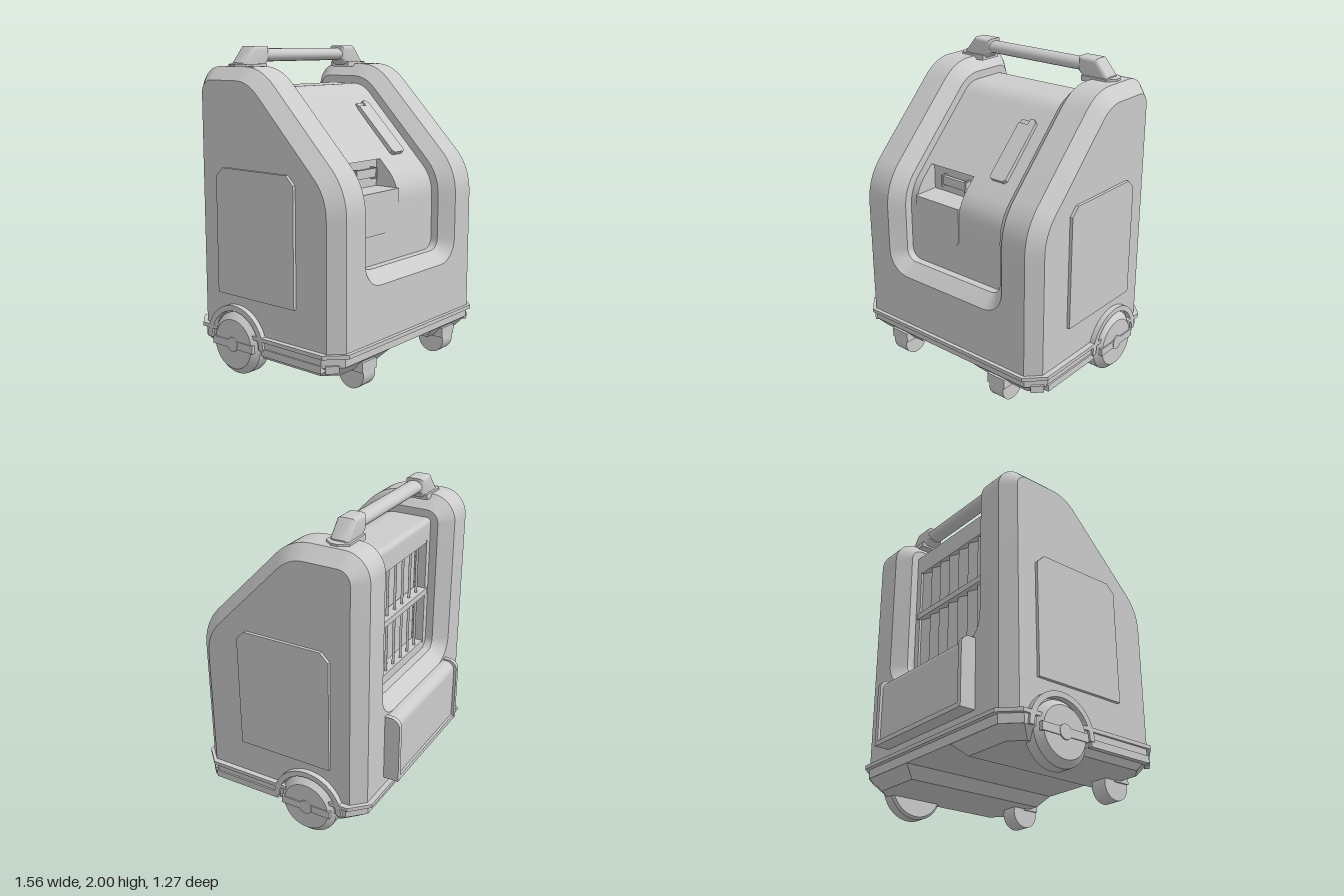
import * as THREE from 'three';
import { toCreasedNormals } from 'three/addons/utils/BufferGeometryUtils.js';
import { ConvexGeometry } from 'three/addons/geometries/ConvexGeometry.js';

const solid = new THREE.MeshStandardMaterial({ color: 0xcccccc });
const shell = new THREE.MeshStandardMaterial({ color: 0xcccccc, side: THREE.DoubleSide });

export function createModel() {
  const model = new THREE.Group();

  const add = (name, geo, mat = solid, parent = model) => {
    const mesh = new THREE.Mesh(geo, mat);
    mesh.name = name;
    parent.add(mesh);
    return mesh;
  };
  // Box given by its limits
  const box = (name, x0, x1, y0, y1, z0, z1) => {
    const mesh = add(name, new THREE.BoxGeometry(x1 - x0, y1 - y0, z1 - z0));
    mesh.position.set((x0 + x1) / 2, (y0 + y1) / 2, (z0 + z1) / 2);
    return mesh;
  };
  const shapeOf = (pts) => new THREE.Shape(pts.map(([a, b]) => new THREE.Vector2(a, b)));
  const extrude = (shape, depth) => toCreasedNormals(
    new THREE.ExtrudeGeometry(shape, { depth, bevelEnabled: false, curveSegments: 16 }), 0.5);
  // Extrusion of a (z, y) shape between two x values
  const sideExtrude = (name, shape, x0, x1) =>
    add(name, extrude(shape, x1 - x0).rotateY(-Math.PI / 2).translate(x1, 0, 0));
  // Surface through rows of [x, y, z] points
  const surface = (rows) => {
    const n = rows[0].length, index = [];
    for (let i = 0; i < rows.length - 1; i++) for (let j = 0; j < n - 1; j++) {
      const a = i * n + j;
      index.push(a, a + 1, a + n, a + 1, a + n + 1, a + n);
    }
    const geo = new THREE.BufferGeometry();
    geo.setAttribute('position', new THREE.Float32BufferAttribute(rows.flat(2), 3));
    geo.setIndex(index);
    return toCreasedNormals(geo, 0.5);
  };

  // Side profile of the body in (z, y), from front bottom over the top to back bottom
  const bend = (a, c, b) => new THREE.QuadraticBezierCurve(
    new THREE.Vector2(...a), new THREE.Vector2(...c), new THREE.Vector2(...b)).getPoints(12).map((p) => [p.x, p.y]);
  const corner = Array.from({ length: 11 }, (_, i) => {
    const t = Math.PI / 2 * (1 + i / 10);
    return [-0.38 + 0.16 * Math.cos(t), 1.72 + 0.16 * Math.sin(t)];
  });
  const profile = [[0.61, 0.27], [0.61, 1.0], ...bend([0.61, 1.05], [0.61, 1.22], [0.49, 1.34]),
    ...bend([0.06, 1.78], [-0.04, 1.88], [-0.17, 1.88]), ...corner, [-0.54, 1.1], [-0.54, 0.27]];
  const inset = (d) => profile.map(([z, y], i) => {
    const [za, ya] = profile[Math.max(i - 1, 0)], [zb, yb] = profile[Math.min(i + 1, profile.length - 1)];
    const l = Math.hypot(zb - za, yb - ya);
    return [z - d * (yb - ya) / l, y + d * (zb - za) / l];
  });

  // Side towers: chamfer, flat band and bevel into the central channel
  const loft = (section, from, to) => {
    const cols = section.map(([x, d]) => inset(d).slice(from, to).map(([z, y]) => [x, y, z]));
    return surface(cols);
  };
  for (const s of [1, -1]) {
    add('towerBand', loft([[s * 0.64, 0], [s * 0.47, 0], [s * 0.39, 0.08], [s * 0.39, 0.14]], 1, -1), shell);
    add('towerChamfer', loft([[s * 0.64, 0], [s * 0.72, 0.08]]), shell);
    add('bodySide', new THREE.ShapeGeometry(shapeOf(inset(0.08))).rotateY(-Math.PI / 2).translate(s * 0.72, 0, 0), shell);
  }

  // Lower wall with a rounded U-shaped cut-out and its bevelled rim
  const lowerWall = (name, z, yInner, yTop, turn) => {
    const path = [[0.32, yTop, 0]];
    for (let i = 0; i <= 8; i++) path.push([0.32, yInner + 0.07, -i / 8 * Math.PI / 2]);
    for (let i = 0; i <= 8; i++) path.push([-0.32, yInner + 0.07, -(1 + i / 8) * Math.PI / 2]);
    path.push([-0.32, yTop, -Math.PI]);
    const ring = (r, d) => path.map(([x, y, t]) => [x + r * Math.cos(t), y + r * Math.sin(t), z - d]);
    const outer = ring(0.15, 0);
    add(name + 'Rim', surface([outer, ring(0.07, 0.08), ring(0.07, 0.14)]), shell).rotation.y = turn;
    const wall = shapeOf([[-0.64, yTop], [-0.64, 0.27], [0.64, 0.27], [0.64, yTop], ...outer]);
    add(name, new THREE.ShapeGeometry(wall).translate(0, 0, z), shell).rotation.y = turn;
  };
  lowerWall('frontWall', 0.61, 0.7, 1.0, 0);
  lowerWall('backWall', 0.54, 0.85, 1.1, Math.PI);

  // Recessed centre panel, left open where the pocket sits
  const core = inset(0.13).slice(0, -2);
  core[0][1] = 0.65;
  core.push([-0.41, 1.62]);
  const cutAt = (y) => {
    const i = core.findIndex((p) => p[1] > y);
    const [a, b] = [core[i - 1], core[i]];
    core.splice(i, 0, [a[0] + (b[0] - a[0]) * (y - a[1]) / (b[1] - a[1]), y]);
    return i;
  };
  const low = cutAt(1.14), high = cutAt(1.31);
  const strip = (x0, x1, pts) => add('centrePanel',
    surface([x0, x1].map((x) => pts.map(([z, y]) => [x, y, z]))), shell);
  strip(-0.39, -0.34, core);
  strip(0.02, 0.39, core);
  strip(-0.34, 0.02, core.slice(0, low + 1));
  strip(-0.34, 0.02, core.slice(high));

  // Pocket with a grip and a flap below it
  const cheek = shapeOf([...core.slice(low, high + 1), [0.31, 1.31], [0.31, 1.14]]);
  sideExtrude('pocketCheek', cheek, -0.35, -0.34);
  sideExtrude('pocketCheek', cheek, 0.02, 0.03);
  box('pocketBack', -0.35, 0.03, 1.12, 1.32, 0.29, 0.31);
  box('pocketFloor', -0.34, 0.02, 1.12, 1.14, 0.3, 0.45);
  box('pocketGrip', -0.24, -0.03, 1.205, 1.26, 0.33, 0.355);
  for (const x of [-0.235, -0.045]) box('gripPost', x, x + 0.012, 1.19, 1.265, 0.3, 0.36);
  const flap = new THREE.Shape().moveTo(-0.34, 1.14).lineTo(-0.34, 0.88).lineTo(-0.04, 0.88);
  flap.absarc(-0.04, 0.94, 0.06, -Math.PI / 2, 0).lineTo(0.02, 1.14);
  add('pocketFlap', extrude(flap, 0.085).translate(0, 0, 0.4));

  // Latch on the slope
  const latch = shapeOf([[-0.06, -0.2], [-0.045, -0.215], [0.045, -0.215], [0.06, -0.2], [0.06, 0.2],
    [0.04, 0.22], [0.01, 0.22], [0.01, 0.18], [-0.06, 0.18]]);
  const latchMesh = add('latch', extrude(latch, 0.04));
  latchMesh.position.set(0.21, 1.463, 0.168);
  latchMesh.rotation.x = -Math.PI / 4;
  const tab = add('latchTab', new THREE.BoxGeometry(0.06, 0.03, 0.02));
  tab.position.set(0.185, 1.615, 0.045);
  tab.rotation.x = -Math.PI / 4;

  // Back grille: frame, middle rail and angled slats
  box('grilleBack', -0.39, 0.39, 0.8, 1.7, -0.33, -0.3);
  for (const s of [1, -1]) box('grilleSide', s * 0.37 - 0.025, s * 0.37 + 0.025, 0.8, 1.68, -0.41, -0.32);
  box('grilleTop', -0.39, 0.39, 1.6, 1.66, -0.408, -0.32);
  box('grilleBottom', -0.39, 0.39, 0.8, 0.91, -0.408, -0.32);
  box('grilleRail', -0.36, 0.36, 1.25, 1.29, -0.42, -0.34);
  for (let i = 0; i < 7; i++) {
    box('grilleSlat', -0.05, 0.05, 0.9, 1.62, -0.376, -0.36).rotation.y = 0.45;
    model.children.at(-1).position.x = -0.3 + i * 0.1;
  }

  // Rear case with raised end caps and bottom lip
  const caseShape = (z, y0, y1, r) => {
    const s = new THREE.Shape().moveTo(-0.5, y0).lineTo(-0.5, y1).lineTo(z + r, y1);
    return s.absarc(z + r, y1 - r, r, Math.PI / 2, Math.PI).lineTo(z, y0);
  };
  sideExtrude('rearCase', caseShape(-0.622, 0.35, 0.77, 0.06), -0.41, 0.41);
  for (const x of [-0.435, 0.405]) sideExtrude('rearCaseCap', caseShape(-0.64, 0.34, 0.78, 0.06), x, x + 0.03);
  box('rearCaseLip', -0.41, 0.41, 0.34, 0.37, -0.638, -0.54);

  // Base: trim flange, pan and two feet with a channel between them
  const octagon = (x, zf, zb, c) => [[x, zf - c], [x - c, zf], [c - x, zf], [-x, zf - c],
    [-x, zb + c], [c - x, zb], [x - c, zb], [x, zb + c]];
  const hull = (name, ...rings) => add(name, new ConvexGeometry(
    rings.flatMap(([y, pts]) => pts.map(([x, z]) => new THREE.Vector3(x, y, z)))));
  const trim = octagon(0.755, 0.635, -0.572, 0.11);
  hull('trimFlange', [0.258, trim], [0.282, trim]);
  const pan = octagon(0.74, 0.605, -0.545, 0.1);
  hull('basePan', [0.2, pan], [0.26, pan]);
  for (const s of [1, -1]) {
    const foot = (xi, xo, zf, zb, c) => [[xi, zf], [xo - c, zf], [xo, zf - c], [xo, zb + c], [xo - c, zb], [xi, zb]]
      .map(([x, z]) => [s * x, z]);
    hull('baseFoot', [0.202, foot(0.215, 0.74, 0.605, -0.545, 0.1)], [0.13, foot(0.28, 0.69, 0.54, -0.46, 0.08)]);

    // Side rail and its end on the corner
    box('sideRail', s * 0.73 - 0.02, s * 0.73 + 0.02, 0.17, 0.215, 0.04, 0.51);
    const end = box('sideRailEnd', -0.04, 0.04, 0.17, 0.215, -0.015, 0.015);
    end.position.set(s * 0.695, 0.1925, 0.55);
    end.rotation.y = s * Math.PI / 4;

    // Side access panel
    const panel = shapeOf([[-0.33, 0.5], [0.3, 0.5], [0.3, 1.225], [0.245, 1.28], [-0.275, 1.28], [-0.33, 1.225]]);
    sideExtrude('sidePanel', panel, s > 0 ? 0.71 : -0.74, s > 0 ? 0.74 : -0.71);

    // Wheel arch
    const arch = new THREE.Shape().absarc(-0.18, 0.2, 0.24, 0, Math.PI).absarc(-0.18, 0.2, 0.205, Math.PI, 0, true);
    sideExtrude('wheelArch', arch, s > 0 ? 0.69 : -0.755, s > 0 ? 0.755 : -0.69);

    // Main wheel with a cross bar and hub
    const wheel = new THREE.Group();
    wheel.name = 'mainWheel';
    wheel.position.set(s * 0.64, 0.2, -0.18);
    wheel.rotation.z = -s * Math.PI / 2;
    const tyre = [[0, 0], [0.18, 0], [0.195, 0.015], [0.195, 0.09], [0.155, 0.13], [0, 0.13]];
    add('tyre', toCreasedNormals(new THREE.LatheGeometry(tyre.map((p) => new THREE.Vector2(...p)), 40), 0.5), solid, wheel);
    add('wheelBar', new THREE.BoxGeometry(0.05, 0.05, 0.34), solid, wheel).position.y = 0.112;
    add('wheelHub', new THREE.CylinderGeometry(0.045, 0.045, 0.05, 24), solid, wheel).position.y = 0.114;
    model.add(wheel);

    // Front caster
    const caster = add('casterWheel', new THREE.CylinderGeometry(0.095, 0.095, 0.11, 32).rotateZ(Math.PI / 2));
    caster.position.set(s * 0.42, 0.1, 0.51);
    box('casterFork', s * 0.42 - 0.055, s * 0.42 + 0.055, 0.1, 0.17, 0.44, 0.6);
    box('casterBracket', s * 0.42 - 0.067, s * 0.42 + 0.067, 0.12, 0.185, 0.5, 0.607);

    // Handle foot plate and rounded end block
    const plate = [[0.395, -0.375], [0.575, -0.375], [0.615, -0.32], [0.615, -0.28], [0.575, -0.225], [0.395, -0.225]]
      .map(([x, z]) => [s * x, z]);
    hull('handlePlate', [1.86, plate], [1.893, plate]);
    const block = shapeOf([[0.355, 1.91], [0.41, 1.86], [0.57, 1.86], [0.57, 1.9], [0.485, 2.0], [0.355, 2.0]]
      .map(([x, y]) => [s * x, y]));
    add('handleBlock', toCreasedNormals(new THREE.ExtrudeGeometry(block, {
      depth: 0.07, bevelThickness: 0.025, bevelSize: 0.025, bevelOffset: -0.025, bevelSegments: 4,
    }), 0.6).translate(0, 0, -0.335));
  }

  // Handle bar
  const bar = add('handleBar', new THREE.CylinderGeometry(0.045, 0.045, 0.76, 24).rotateZ(Math.PI / 2));
  bar.scale.set(1, 0.9, 1.2);
  bar.position.set(0, 1.945, -0.3);

  return model;
}
